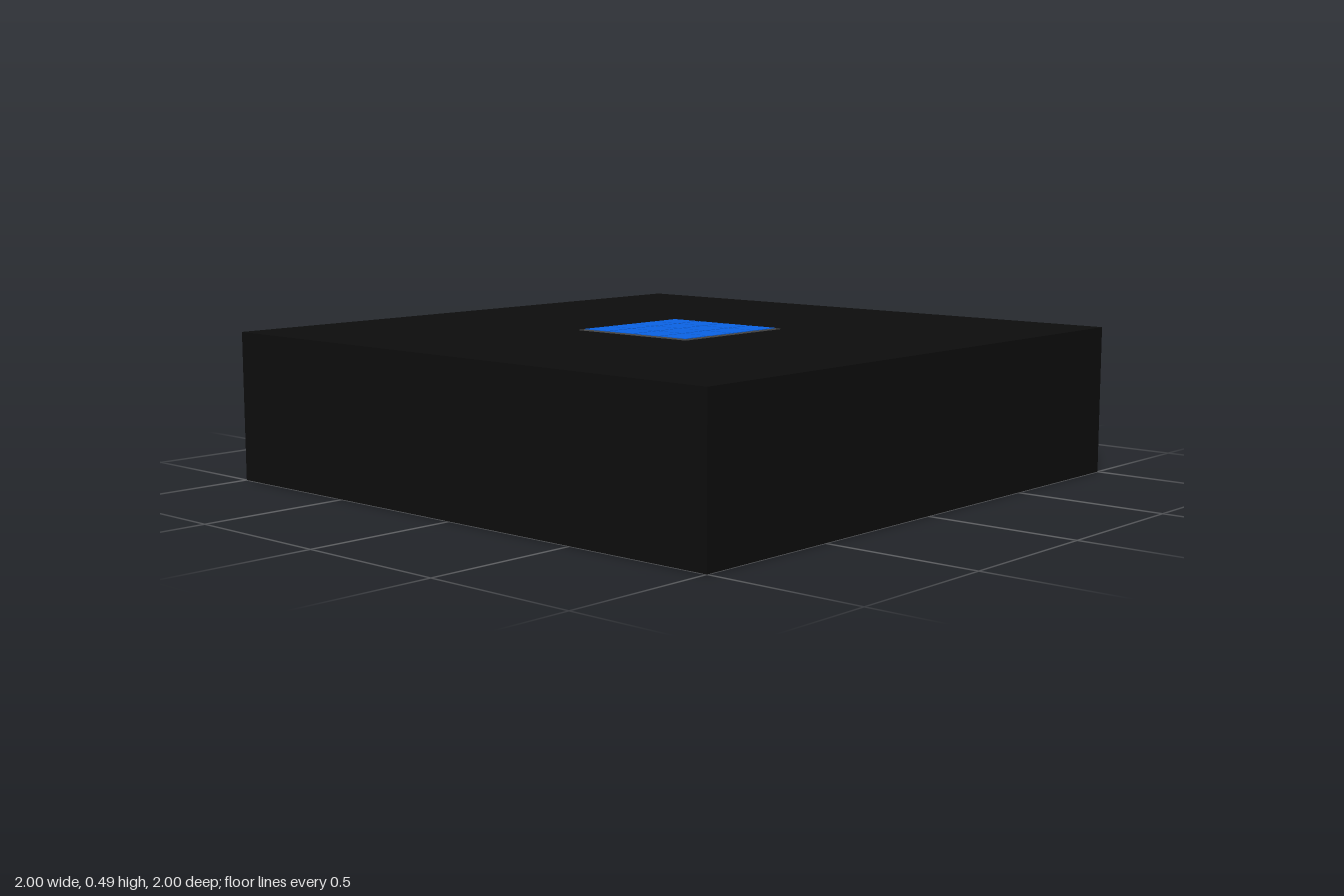
import * as THREE from 'three';

const paint = (color) => new THREE.MeshStandardMaterial({ color });

function block(name, size, bottom, x, z, material) {
  const mesh = new THREE.Mesh(new THREE.BoxGeometry(...size), material);
  mesh.name = name;
  mesh.position.set(x, bottom + size[1] / 2, z);
  return mesh;
}

export function createModel() {
  const model = new THREE.Group();
  model.name = 'slabWithTiles';
  const black = paint(0x0d0d0d);
  const grey = paint(0x4a4a4a);
  const blue = paint(0x0b63e5);

  // Solid square slab
  const top = 0.488;
  model.add(block('slab', [2, top, 2], 0, 0, 0, black));

  // 4 x 4 grid of raised tiles, each a blue cap on a thin grey rim
  const pitch = 0.112, centreZ = 0.013;
  const tiles = new THREE.Group();
  tiles.name = 'tileGrid';
  for (let row = 0; row < 4; row++) {
    for (let col = 0; col < 4; col++) {
      const x = (col - 1.5) * pitch;
      const z = centreZ + (row - 1.5) * pitch;
      const tile = new THREE.Group();
      tile.name = 'tile';
      tile.add(block('tileRim', [0.112, 0.003, 0.112], top, x, z, grey));
      tile.add(block('tileCap', [0.104, 0.002, 0.104], top + 0.003, x, z, blue));
      tiles.add(tile);
    }
  }
  // Outer border of the grid
  const border = block('gridBorder', [0.466, 0.002, 0.466], top, 0, centreZ, grey);
  tiles.add(border);
  model.add(tiles);
  return model;
}
